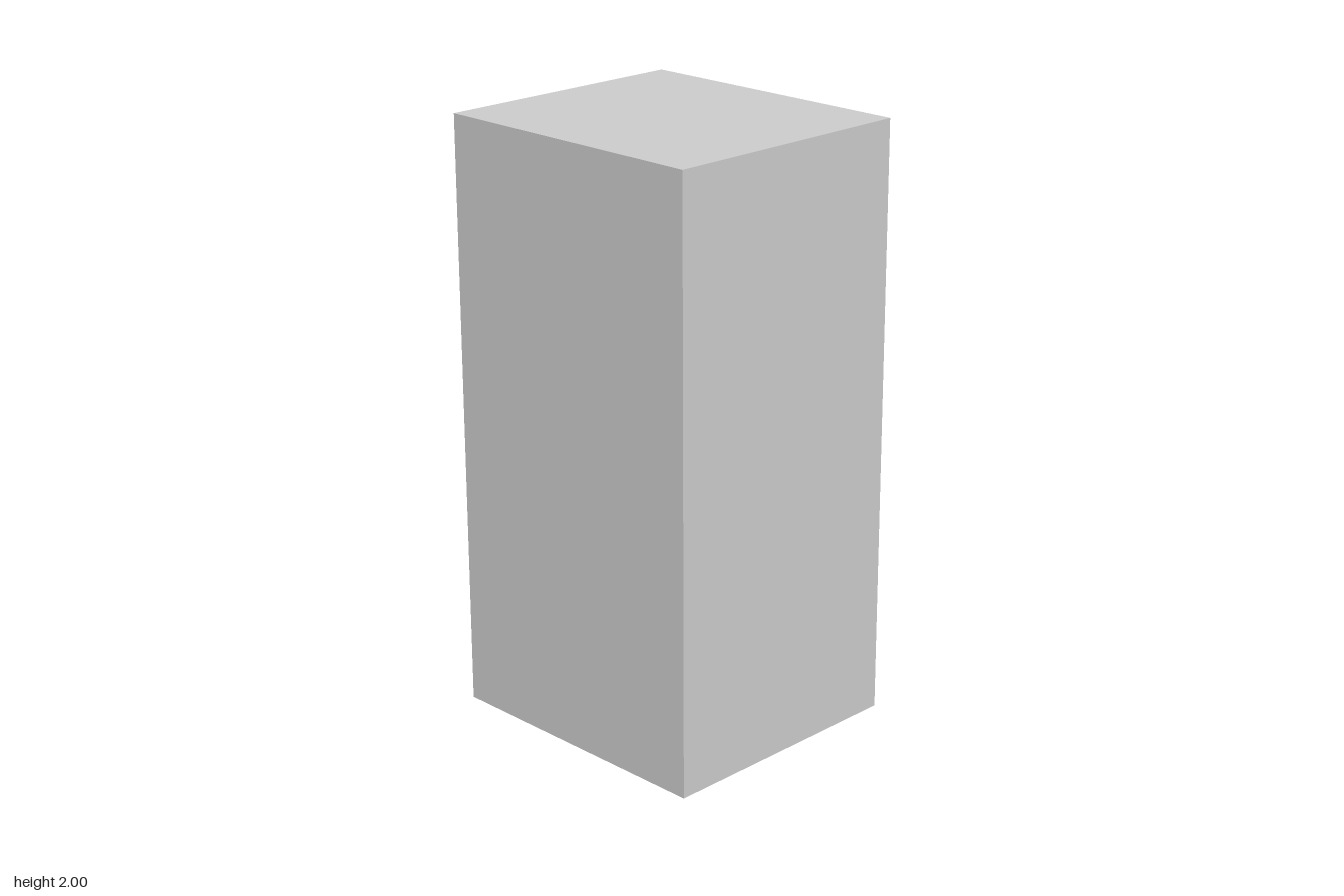
import * as THREE from 'three';

const material = new THREE.MeshStandardMaterial({ color: 0xcccccc });

function addPart(parent, name, geometry, x, y, z) {
  const mesh = new THREE.Mesh(geometry, material);
  mesh.name = name;
  mesh.position.set(x, y, z);
  parent.add(mesh);
  return mesh;
}

// Box whose +x face is shrunk, giving bevelled edges all round
function bevelledPanel(depth, height, width, scale) {
  const geometry = new THREE.BoxGeometry(depth, height, width).toNonIndexed();
  const p = geometry.attributes.position;
  for (let i = 0; i < p.count; i++) {
    if (p.getX(i) > 0) {
      p.setY(i, p.getY(i) * scale);
      p.setZ(i, p.getZ(i) * scale);
    }
  }
  geometry.computeVertexNormals();
  return geometry;
}

export function createModel() {
  const model = new THREE.Group();
  model.name = 'cabinet';

  const back = -0.566, seam = 0.334, face = 0.434;
  const radius = 0.032, barX = 0.534, handleZ = -0.284, handleY = 1.11;

  // Cabinet body and bevelled door on the +x side
  addPart(model, 'body', new THREE.BoxGeometry(seam - back, 2, 1), (back + seam) / 2, 1, 0);
  addPart(model, 'door', bevelledPanel(face - seam, 2, 1, 0.8), (seam + face) / 2, 1, 0);

  // Door handle: upright bar on two round posts
  const handle = new THREE.Group();
  handle.name = 'handle';
  handle.position.set(0, handleY, handleZ);
  model.add(handle);
  addPart(handle, 'handleBar', new THREE.CylinderGeometry(radius, radius, 0.24, 32), barX, 0, 0);
  for (const [name, side] of [['upperPost', 1], ['lowerPost', -1]]) {
    const post = new THREE.CylinderGeometry(radius, radius, barX - face, 32).rotateZ(Math.PI / 2);
    addPart(handle, name, post, (face + barX) / 2, side * 0.06, 0);
  }

  return model;
}
